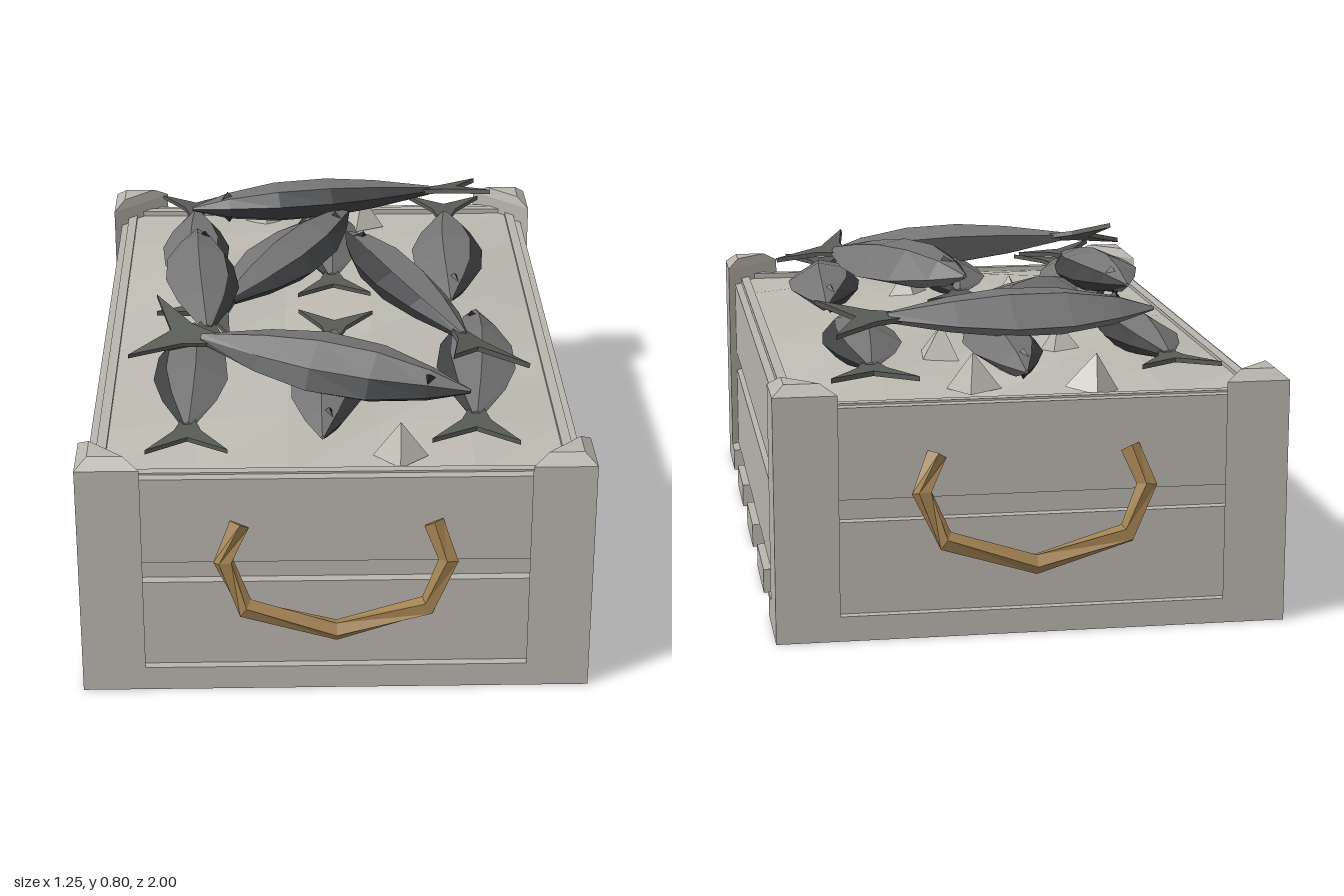
import * as THREE from 'three';

const mat = (name, color, extra = {}) => {
  const m = new THREE.MeshStandardMaterial({ color, flatShading: true, ...extra });
  m.name = name;
  return m;
};

// Flat-sided skin through rings of points; side j uses material group pick(j)
function loft(rings, pick = () => 0) {
  const lists = [[], []];
  const tri = (g, ...pts) => pts.forEach((p) => lists[g].push(...p));
  const n = rings[0].length;
  for (let i = 0; i < rings.length - 1; i++) {
    for (let j = 0; j < n; j++) {
      const k = (j + 1) % n, a = rings[i], b = rings[i + 1];
      tri(pick(j), a[j], a[k], b[k]);
      tri(pick(j), a[j], b[k], b[j]);
    }
  }
  const first = rings[0], last = rings[rings.length - 1];
  for (let j = 1; j < n - 1; j++) {
    tri(0, first[0], first[j + 1], first[j]);
    tri(0, last[0], last[j], last[j + 1]);
  }
  const geo = new THREE.BufferGeometry();
  geo.setAttribute('position', new THREE.Float32BufferAttribute([...lists[0], ...lists[1]], 3));
  geo.addGroup(0, lists[0].length / 3, 0);
  if (lists[1].length) geo.addGroup(lists[0].length / 3, lists[1].length / 3, 1);
  geo.computeVertexNormals();
  return geo;
}

export function createModel() {
  const wood = mat('pale wood', 0xb8b4ad);
  const ice = mat('ice', 0xbcbab1);
  const rope = mat('rope brown', 0xa08050);
  const skin = mat('fish side', 0x757576);
  const back = mat('fish back', 0x404143);
  const fin = mat('fish tail', 0x585a55);
  const dark = mat('fish eye', 0x29292a);

  const model = new THREE.Group();
  model.name = 'fishCrate';
  const add = (parent, name, geo, material, x = 0, y = 0, z = 0) => {
    const m = new THREE.Mesh(geo, material);
    m.name = name;
    m.position.set(x, y, z);
    parent.add(m);
    return m;
  };
  // Box given by its limits
  const box = (name, x0, x1, y0, y1, z0, z1) => add(model, name,
    new THREE.BoxGeometry(x1 - x0, y1 - y0, z1 - z0), wood,
    (x0 + x1) / 2, (y0 + y1) / 2, (z0 + z1) / 2);

  // Floor and bottom slats
  box('floor', -0.6, 0.6, 0.06, 0.085, -0.91, 0.91);
  for (let i = -2; i <= 2; i++) {
    const z = i * 0.4125;
    box('bottomSlat', -0.625, 0.625, 0, 0.062, z - 0.115, z + 0.115);
  }

  // Walls: two planks with a recessed liner behind the gap
  for (const s of [-1, 1]) {
    const span = (a, b) => (s > 0 ? [a, b] : [-b, -a]);
    for (const [y0, y1] of [[0.062, 0.29], [0.345, 0.555]]) {
      box('sidePlank', ...span(0.58, 0.605), y0, y1, -0.9, 0.9);
    }
    for (const [y0, y1] of [[0.062, 0.29], [0.345, 0.57]]) {
      box('endPlank', -0.59, 0.59, y0, y1, ...span(0.89, 0.918));
    }
    box('sideLiner', ...span(0.56, 0.585), 0.07, 0.57, -0.88, 0.88);
    box('endLiner', -0.575, 0.575, 0.07, 0.575, ...span(0.868, 0.892));
  }

  // Triangular corner posts with bevelled tops
  for (const sx of [-1, 1]) for (const sz of [-1, 1]) {
    const ring = (y, far, near) => {
      const r = [[far, far], [far, near], [near, far]]
        .map(([a, b]) => [sx * (0.625 - a), y, sz * (0.94 - b)]);
      return sx * sz > 0 ? r : r.reverse();
    };
    add(model, 'cornerPost', loft([ring(0, 0, 0.155), ring(0.605, 0, 0.155), ring(0.63, 0.03, 0.115)]), wood);
  }

  // Twisted rope handles
  const path = [[-0.235, 0.45, 0.92], [-0.272, 0.365, 0.955], [-0.222, 0.25, 0.975], [0, 0.185, 0.975],
    [0.222, 0.25, 0.975], [0.272, 0.365, 0.955], [0.235, 0.45, 0.92]].map((p) => new THREE.Vector3(...p));
  const handleRings = path.map((p, i) => {
    const t = path[Math.min(i + 1, 6)].clone().sub(path[Math.max(i - 1, 0)]).normalize();
    const u = new THREE.Vector3(0, 0, 1).addScaledVector(t, -t.z).normalize();
    const v = t.clone().cross(u);
    return Array.from({ length: 5 }, (_, j) => {
      const a = (j / 5) * Math.PI * 2 + i * 0.45;
      return p.clone().addScaledVector(u, 0.026 * Math.cos(a)).addScaledVector(v, 0.026 * Math.sin(a)).toArray();
    });
  });
  const handleGeo = loft(handleRings);
  add(model, 'frontHandle', handleGeo, rope);
  add(model, 'backHandle', handleGeo, rope).rotation.y = Math.PI;

  // Uneven ice bed
  const bed = new THREE.PlaneGeometry(1.13, 1.75, 5, 7).rotateX(-Math.PI / 2);
  const bp = bed.attributes.position;
  for (let i = 0; i < bp.count; i++) {
    const x = bp.getX(i), z = bp.getZ(i);
    const inside = Math.abs(x) < 0.55 && Math.abs(z) < 0.86;
    bp.setY(i, inside ? 0.585 + 0.018 * Math.sin(x * 9 + z * 5) : 0.56);
  }
  bed.computeVertexNormals();
  add(model, 'iceBed', bed, ice);

  // Ice chunks
  const chunk = new THREE.ConeGeometry(0.068, 0.09, 4);
  [[-0.17, -0.81], [0.12, -0.76], [-0.16, -0.42], [0.15, -0.4], [-0.14, 0.26], [0.13, 0.43], [0.16, 0.8]]
    .forEach(([x, z], i) => {
      add(model, 'iceChunk', chunk, ice, x, 0.615, z).rotation.set(0.12 * Math.sin(i * 2), i * 1.3, 0.12 * Math.cos(i * 3));
    });

  // One fish: head at +x, tail at -x, back towards +z
  const bodyGeo = loft([[-0.25, 0.016, 0.012], [-0.1, 0.072, 0.038], [0.03, 0.1, 0.052], [0.17, 0.092, 0.052],
    [0.3, 0.05, 0.034], [0.395, 0.006, 0.005]].map(([x, w, t]) => [
    [x, 0, w], [x, -0.7 * t, 0.65 * w], [x, -t, -0.15 * w], [x, 0, -w], [x, t, -0.15 * w], [x, 0.7 * t, 0.65 * w]]),
  (j) => (j === 0 || j === 5 ? 1 : 0));
  const tailShape = new THREE.Shape([[-0.22, -0.018], [-0.22, 0.018], [-0.285, 0.035], [-0.395, 0.105], [-0.325, 0],
    [-0.395, -0.105], [-0.285, -0.035]].map((p) => new THREE.Vector2(...p)));
  const tailGeo = new THREE.ExtrudeGeometry(tailShape, { depth: 0.012, bevelEnabled: false })
    .translate(0, 0, -0.006).rotateX(Math.PI / 2);
  const eyeGeo = new THREE.ConeGeometry(0.024, 0.022, 3);

  // Each fish: head point, tail point, roll
  const up = Math.PI;
  const fishes = [
    [[-0.36, 0.62, -0.1], [-0.38, 0.63, -0.85], up],
    [[0.34, 0.62, -0.05], [0.37, 0.62, -0.85], up],
    [[0.0, 0.62, -0.82], [0.02, 0.63, -0.07], up],
    [[-0.03, 0.62, 0.8], [0.02, 0.63, 0.05], up],
    [[0.4, 0.63, 0.05], [0.34, 0.63, 0.85], up],
    [[-0.36, 0.62, 0.1], [-0.36, 0.61, 0.85], up],
    [[0.07, 0.7, -0.53], [-0.36, 0.66, 0.2], 0.1],
    [[-0.36, 0.73, -0.31], [-0.31, 0.7, 0.47], 0.15],
    [[0.06, 0.75, -0.23], [0.4, 0.71, 0.56], up + 0.3],
    [[-0.38, 0.71, -0.53], [0.47, 0.73, -0.65], up + 0.2],
    [[0.34, 0.67, 0.65], [-0.48, 0.75, 0.41], 0.35],
  ];
  for (const [h, t, roll] of fishes) {
    const head = new THREE.Vector3(...h), tail = new THREE.Vector3(...t);
    const fish = new THREE.Group();
    fish.name = 'fish';
    add(fish, 'fishBody', bodyGeo, [skin, back]);
    add(fish, 'fishTail', tailGeo, fin);
    for (const s of [-1, 1]) {
      add(fish, 'fishEye', eyeGeo, dark, 0.3, s * 0.03, 0.012).rotation.x = s > 0 ? 0 : Math.PI;
    }
    const dx = head.clone().sub(tail);
    fish.scale.setScalar(dx.length() / 0.79);
    dx.normalize();
    const dz = dx.clone().cross(new THREE.Vector3(0, 1, 0)).normalize();
    fish.quaternion.setFromRotationMatrix(new THREE.Matrix4().makeBasis(dx, dz.clone().cross(dx), dz));
    fish.rotateX(roll);
    fish.position.copy(head).add(tail).multiplyScalar(0.5);
    model.add(fish);
  }
  return model;
}
